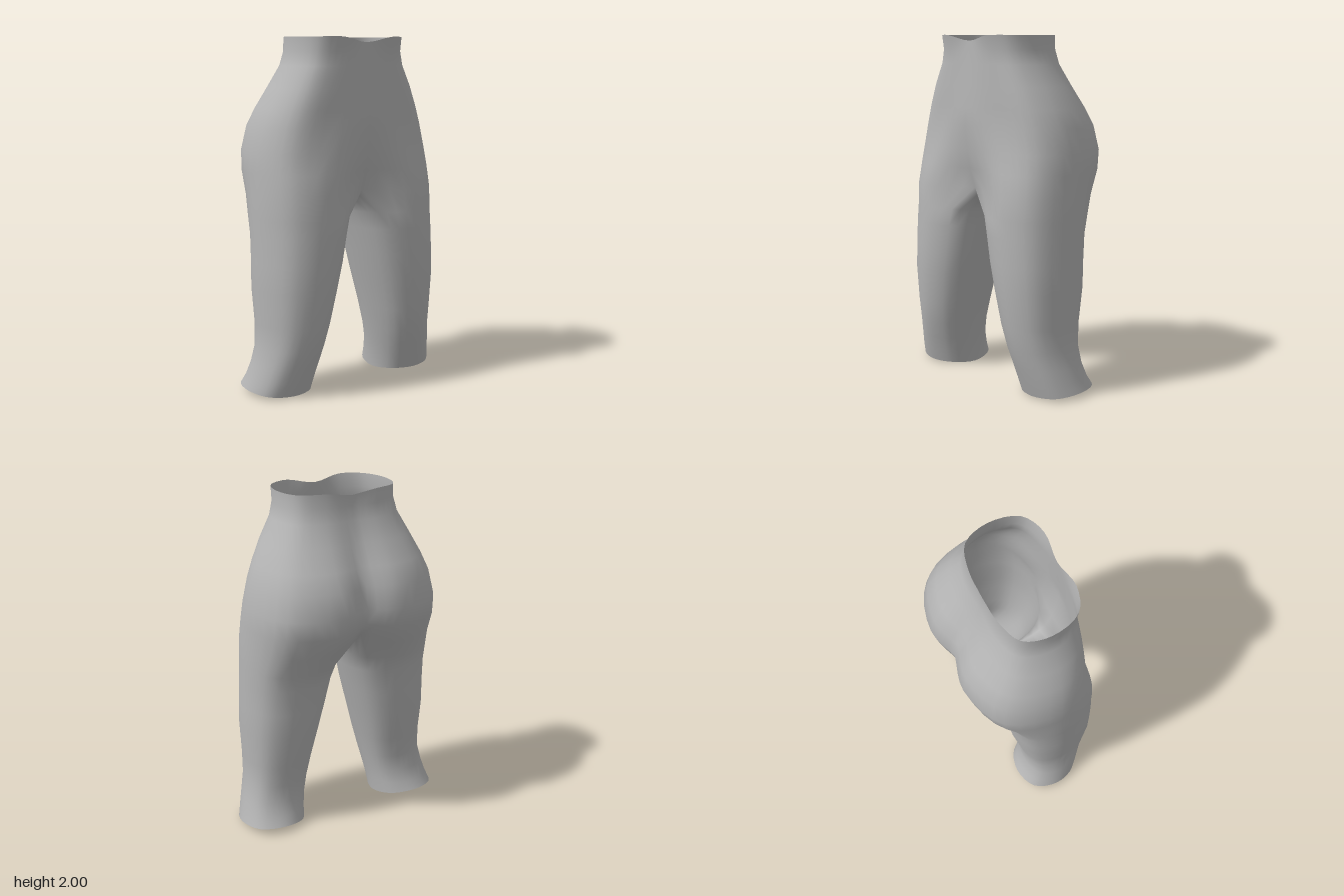
import * as THREE from 'three';
import { mergeVertices } from 'three/addons/utils/BufferGeometryUtils.js';

const SEG = 4; // steps between neighbouring control points
const V = (x, y, z) => new THREE.Vector3(x, y, z);

// Hip rows from waist to crotch:
// y, side x, side z, front z, front x, back z, back x, front centre y, z, back centre y, z
const HIPS = [
  [2.0, 0.35, 0.08, 0.315, 0.17, -0.125, 0.16, 1.97, 0.3, 1.98, -0.13],
  [1.92, 0.35, 0.08, 0.3, 0.17, -0.13, 0.16, 1.92, 0.305, 1.92, -0.13],
  [1.84, 0.37, 0.08, 0.3, 0.18, -0.15, 0.17, 1.84, 0.31, 1.84, -0.145],
  [1.72, 0.44, 0.08, 0.305, 0.2, -0.21, 0.18, 1.72, 0.32, 1.72, -0.185],
  [1.6, 0.5, 0.07, 0.305, 0.22, -0.285, 0.19, 1.6, 0.33, 1.6, -0.24],
  [1.5, 0.54, 0.06, 0.305, 0.24, -0.34, 0.19, 1.5, 0.335, 1.5, -0.29],
  [1.36, 0.57, 0.05, 0.315, 0.28, -0.365, 0.2, 1.36, 0.32, 1.37, -0.315],
  [1.25, 0.577, 0.05, 0.335, 0.31, -0.345, 0.2, 1.25, 0.3, 1.28, -0.3],
  [1.12, 0.582, 0.06, 0.355, 0.33, -0.27, 0.22, 1.14, 0.265, 1.2, -0.23],
];

// Leg rows down to the hem: y, outer x, side z, front z, back z, inner x, hem rise
const LEGS = [
  [1.0, 0.585, 0.07, 0.362, -0.2, 0.035, 0],
  [0.9, 0.585, 0.08, 0.365, -0.17, 0.065, 0],
  [0.75, 0.587, 0.09, 0.365, -0.155, 0.1, 0],
  [0.6, 0.59, 0.09, 0.36, -0.14, 0.14, 0],
  [0.4, 0.58, 0.09, 0.34, -0.105, 0.19, 0],
  [0.27, 0.585, 0.08, 0.315, -0.085, 0.22, 0],
  [0.17, 0.61, 0.07, 0.285, -0.09, 0.24, 0],
  [0.09, 0.63, 0.06, 0.262, -0.12, 0.255, 0],
  [0.0, 0.65, 0.05, 0.235, -0.15, 0.265, 0.03],
];

// Samples a curve evenly between two of its control points
function sample(curve, segments, from, to, steps) {
  return Array.from({ length: steps + 1 }, (_, k) =>
    curve.getPoint((from + ((to - from) * k) / steps) / segments));
}

// Open arc from front centre, round the side, to back centre
function hipRow([y, w, s, f, fx, b, bx, fy, fz, by, bz]) {
  const k = 0.74;
  const pts = [
    V(-fx, y, f), V(0, fy, fz), V(fx, y, f),
    V(fx + (w - fx) * k, y, s + (f - s) * k), V(w, y, s),
    V(bx + (w - bx) * k, y, s + (b - s) * k), V(bx, y, b), V(0, by, bz),
  ];
  const arc = sample(new THREE.CatmullRomCurve3(pts), 7, 1, 7, 6 * SEG);
  arc[0].x = arc[arc.length - 1].x = 0;
  return arc;
}

// Closed ring in the same order, ending with the inside of the leg
function legRow([y, w, s, f, b, i, rise]) {
  const c = (w + i) / 2, r = (w - i) / 2, k = 0.74;
  const at = (u, z, up) => V(c + r * u, y + rise * up, s + (z - s));
  const diag = (z) => s + (z - s) * k;
  const pts = [
    at(-k, diag(f), 0.2), at(0, f, 0.2), at(k, diag(f), 0.5), at(1, s, 1),
    at(k, diag(b), 1.2), at(0, b, 1.3), at(-k, diag(b), 0.8), at(-1, s, 0),
  ];
  return sample(new THREE.CatmullRomCurve3(pts, true), 8, 0, 8, 8 * SEG);
}

// Left half shares its centre line with the mirrored right half
function trousersGeometry() {
  const hips = HIPS.map(hipRow);
  const last = hips[hips.length - 1];
  const seam = new THREE.CatmullRomCurve3([
    last[last.length - 1], V(0, 1.125, -0.11), V(0, 1.085, 0.05), V(0, 1.085, 0.18), last[0],
  ]);
  const crotch = [...last, ...sample(seam, 4, 0, 4, 2 * SEG).slice(1)];
  const legs = [crotch, ...LEGS.map(legRow)];

  const position = [], index = [];
  for (const side of [1, -1]) {
    for (const rows of [hips, legs]) {
      const n = rows[0].length, base = position.length / 3;
      rows.flat().forEach((p) => position.push(side * p.x, p.y, p.z));
      // Close leg rings exactly by wrapping to the first point
      const wrap = rows === legs ? n - 1 : n;
      for (let r = 0; r < rows.length - 1; r++) {
        for (let j = 0; j < n - 1; j++) {
          const a = base + r * n + j, d = base + r * n + ((j + 1) % wrap);
          const b = a + n, c = d + n;
          if (side > 0) index.push(a, b, c, a, c, d);
          else index.push(a, c, b, a, d, c);
        }
      }
    }
  }
  let geometry = new THREE.BufferGeometry();
  geometry.setAttribute('position', new THREE.Float32BufferAttribute(position, 3));
  geometry.setIndex(index);
  geometry = mergeVertices(geometry, 1e-4);
  geometry.computeVertexNormals();
  return geometry;
}

export function createModel() {
  const group = new THREE.Group();
  group.name = 'trousers';
  const greyCloth = new THREE.MeshStandardMaterial({ color: 0xb4b4b4, side: THREE.DoubleSide });
  greyCloth.name = 'grey cloth';
  const mesh = new THREE.Mesh(trousersGeometry(), greyCloth);
  mesh.name = 'trouserShell';
  group.add(mesh);
  return group;
}
